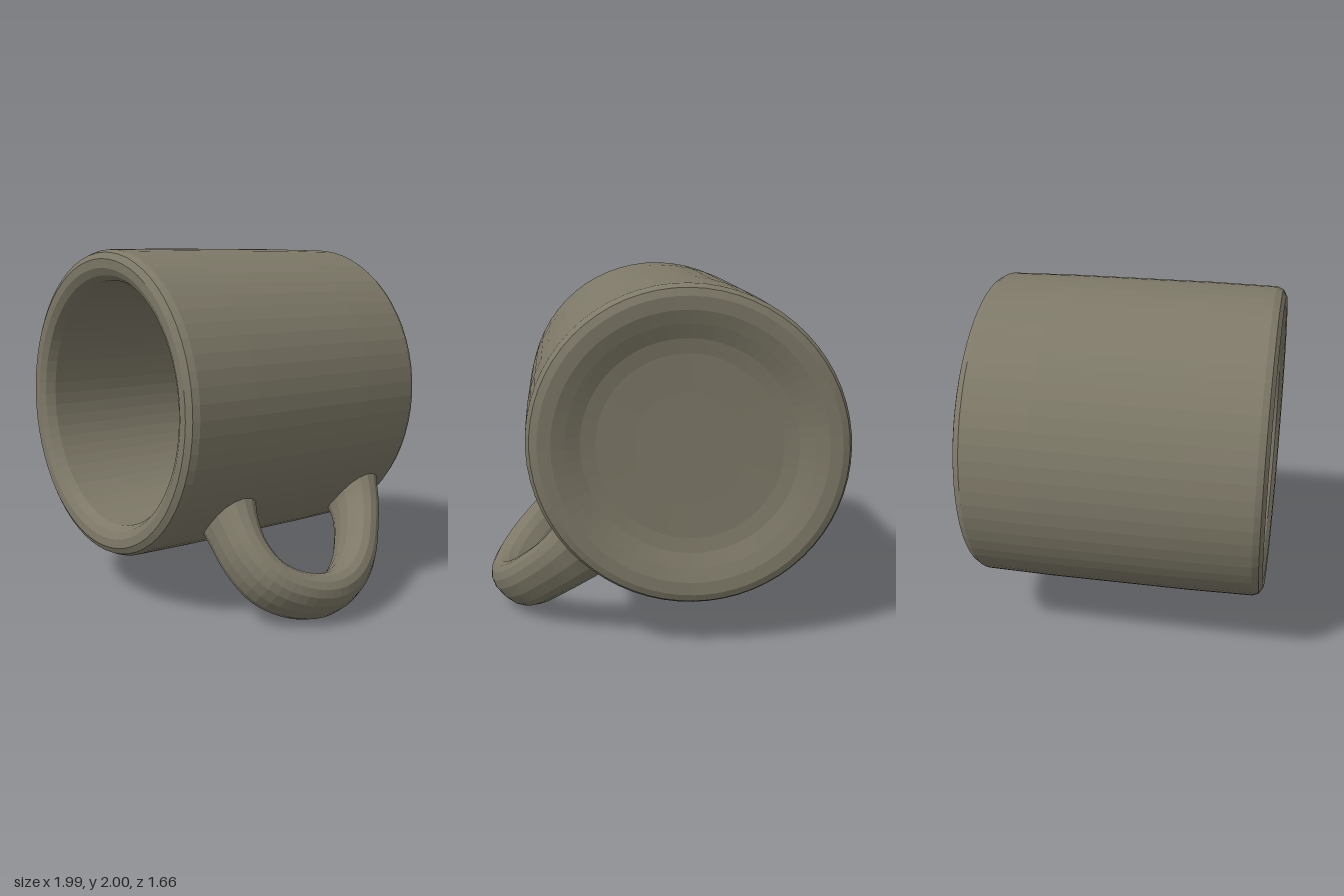
import * as THREE from 'three';

export function createModel() {
  const model = new THREE.Group();
  model.name = 'mug';
  const clay = new THREE.MeshStandardMaterial({ color: 0x7d7867 });
  clay.name = 'grey brown clay';
  clay.flatShading = true;

  // Mug lying on its side: profile as [radius, position along the axis]
  const profile = [
    [0, -0.74], [0.3, -0.74], [0.5, -0.745], [0.58, -0.758], [0.66, -0.79],
    [0.73, -0.813], [0.8, -0.816], [0.84, -0.8], [0.86, -0.765],
    [0.866, -0.4], [0.866, 0], [0.866, 0.4], [0.86, 0.76],
    [0.845, 0.795], [0.81, 0.815], [0.76, 0.812], [0.72, 0.79], [0.692, 0.74],
    [0.685, 0.4], [0.68, 0], [0.675, -0.4], [0.662, -0.57], [0.62, -0.615],
    [0.54, -0.635], [0, -0.64],
  ].map(([r, z]) => new THREE.Vector2(r, z));
  const bodyGeometry = new THREE.LatheGeometry(profile, 64);
  bodyGeometry.rotateX(Math.PI / 2);
  // Hand-made, slightly oval section, longest across the handle's direction
  bodyGeometry.scale(1.022, 0.978, 1);
  bodyGeometry.rotateZ(Math.PI / 4);
  const body = new THREE.Mesh(bodyGeometry, clay);
  body.name = 'cupBody';

  // Handle: planar loop (x = distance from axis, z = along the axis)
  const path = new THREE.CatmullRomCurve3([
    [0.78, 0.36], [0.92, 0.382], [1.08, 0.388], [1.245, 0.335], [1.355, 0.2],
    [1.398, 0.03], [1.37, -0.12], [1.265, -0.285], [1.105, -0.425],
    [0.94, -0.53], [0.78, -0.585],
  ].map(([r, z]) => new THREE.Vector3(r, 0, z)));
  const steps = 40, sides = 16, thin = 0.106, wide = 0.162;
  const handleGeometry = new THREE.TubeGeometry(path, steps, thin, sides, false);
  // Widen the round section into a broad, rounded band that flares at both roots
  const p = handleGeometry.attributes.position;
  for (let i = 0; i < p.count; i++) {
    const u = Math.floor(i / (sides + 1)) / steps;
    const c = path.getPointAt(u);
    const root = Math.pow(Math.abs(2 * u - 1), 6);
    const flare = 1 + 0.5 * root;
    const t = p.getY(i) / thin;
    p.setXYZ(i,
      c.x + (p.getX(i) - c.x) * flare,
      Math.sign(t) * Math.pow(Math.abs(t), 0.85) * wide * (1 + 0.25 * root),
      c.z + (p.getZ(i) - c.z) * flare);
  }
  handleGeometry.computeVertexNormals();
  const handle = new THREE.Mesh(handleGeometry, clay);
  handle.name = 'handle';
  handle.rotation.z = -0.795;

  // The mug rests slightly askew
  const mug = new THREE.Group();
  mug.name = 'lyingMug';
  mug.add(body, handle);
  mug.position.set(-0.13, 1.132, 0);
  mug.rotation.y = 0.018;
  model.add(mug);
  return model;
}
